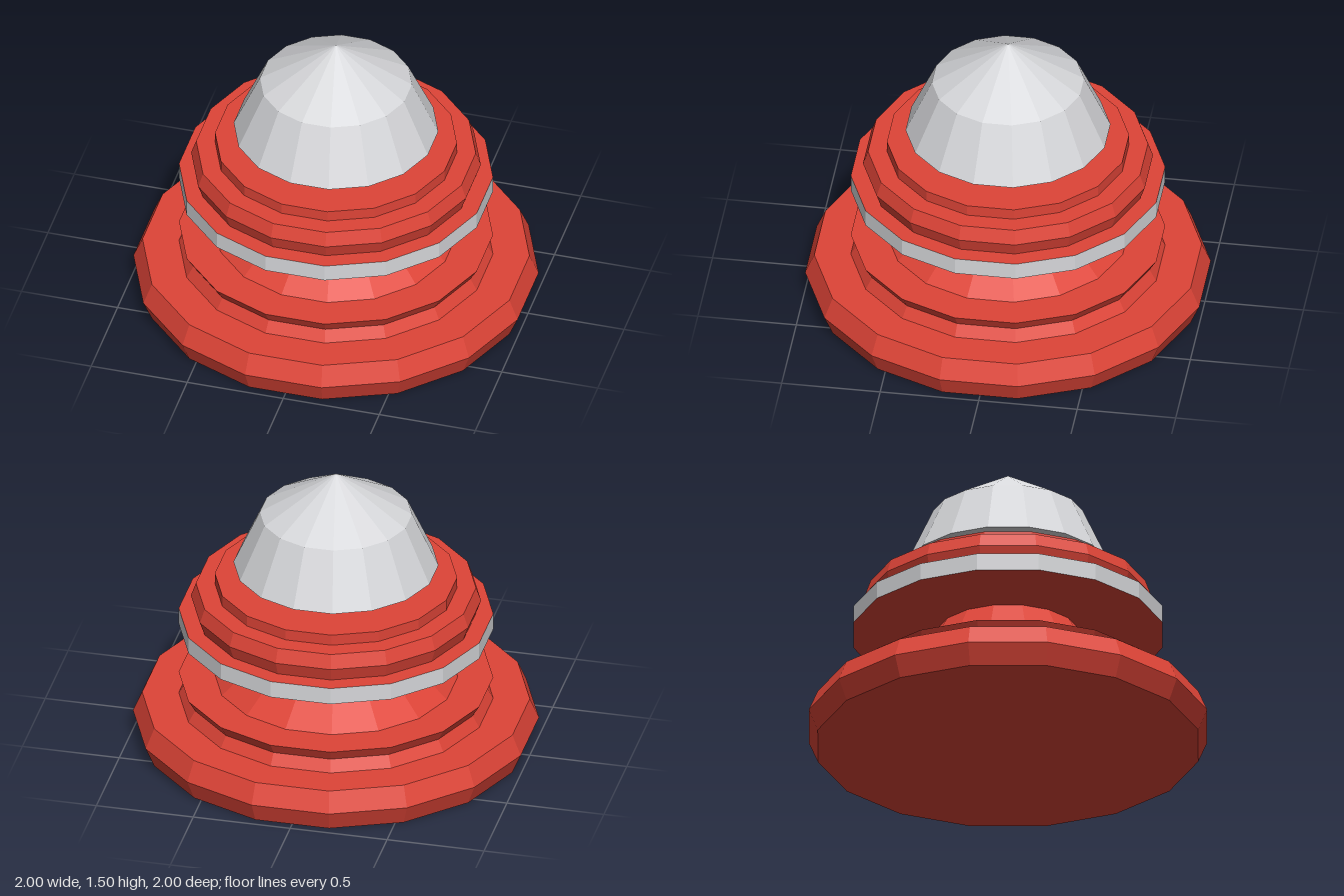
import * as THREE from 'three';

const SIDES = 16;
const APOTHEM = Math.cos(Math.PI / SIDES);

export function createModel() {
  const group = new THREE.Group();
  const red = new THREE.MeshStandardMaterial({ color: 0xde4437, flatShading: true });
  red.name = 'red';
  const grey = new THREE.MeshStandardMaterial({ color: 0xd6d7da, flatShading: true });
  grey.name = 'light grey';

  // Faceted ring from [half width across flats, height] points, bottom to top
  function turned(name, profile, material) {
    const points = profile.map(([r, y]) => new THREE.Vector2(r / APOTHEM, y));
    const geometry = new THREE.LatheGeometry(points, SIDES, Math.PI / SIDES);
    const mesh = new THREE.Mesh(geometry, material);
    mesh.name = name;
    group.add(mesh);
  }

  // Wide foot, stepped ring and flared neck
  turned('base', [[0, 0], [0.955, 0], [1, 0.108], [0.955, 0.215], [0.775, 0.215]], red);
  turned('lowerRing', [[0.775, 0.215], [0.74, 0.275], [0.775, 0.335], [0.6, 0.335]], red);
  turned('neck', [[0.6, 0.335], [0.435, 0.475], [0.358, 0.613]], red);

  // Collar disc: red faces with a grey edge
  turned('collarUnderside', [[0.358, 0.613], [0.775, 0.613]], red);
  turned('collarEdge', [[0.775, 0.613], [0.775, 0.703]], grey);
  turned('collarTop', [[0.775, 0.703], [0.69, 0.703]], red);

  // Stepped rings under the dome
  turned('upperRing', [[0.69, 0.703], [0.715, 0.777], [0.69, 0.85], [0.597, 0.85]], red);
  turned('domeSeat', [[0.597, 0.85], [0.597, 0.908], [0, 0.908]], red);

  // Pointed dome
  turned('dome', [[0.36, 0.908], [0.505, 0.977], [0.375, 1.268], [0, 1.495]], grey);

  return group;
}
